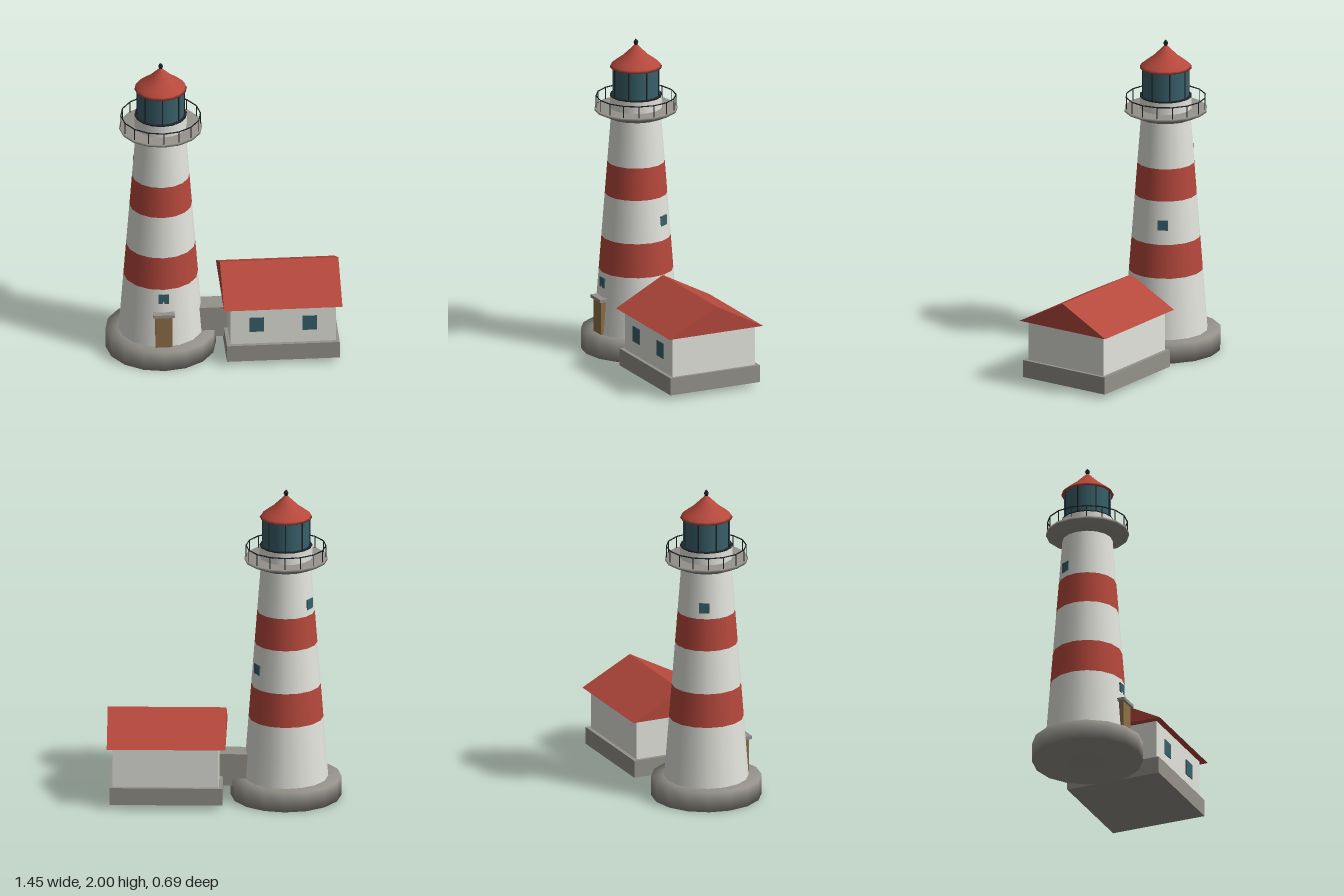
import * as THREE from 'three';

const paint = (name, color) => {
  const m = new THREE.MeshStandardMaterial({ color });
  m.name = name;
  return m;
};

export function createModel() {
  const white = paint('whitewash', 0xe4e4de);
  const red = paint('red', 0xb5483c);
  const stone = paint('stone', 0x94928a);
  const glass = paint('glass', 0x38606a);
  const wood = paint('wood', 0x8f7049);
  const iron = paint('iron', 0x1e2226);

  const model = new THREE.Group();
  model.name = 'lighthouse';
  const tower = new THREE.Group();
  tower.name = 'tower';
  tower.position.x = -0.383;
  const house = new THREE.Group();
  house.name = 'house';
  model.add(tower, house);

  const add = (parent, name, geometry, material, x = 0, y = 0, z = 0) => {
    const mesh = new THREE.Mesh(geometry, material);
    mesh.name = name;
    mesh.position.set(x, y, z);
    parent.add(mesh);
    return mesh;
  };
  // Sixteen-sided turned part from [radius, height] pairs, bottom to top
  const turned = (name, profile, material) =>
    add(tower, name, new THREE.LatheGeometry(profile.map(([r, y]) => new THREE.Vector2(r, y)), 16), material);
  // Box given by its limits on each axis
  const box = (parent, name, material, [x0, x1], [y0, y1], [z0, z1]) =>
    add(parent, name, new THREE.BoxGeometry(x1 - x0, y1 - y0, z1 - z0), material,
      (x0 + x1) / 2, (y0 + y1) / 2, (z0 + z1) / 2);

  // Foundation and tapering banded shaft
  turned('foundation', [[0, 0], [0.343, 0], [0.343, 0.125], [0.24, 0.126]], stone);
  const radiusAt = (y) => 0.262 - 0.0768 * (y - 0.125);
  const bands = [0.12, 0.515, 0.73, 1.005, 1.21, 1.51];
  for (let i = 0; i < 5; i++) {
    const [a, b] = [bands[i], bands[i + 1]];
    turned('shaftBand', [[radiusAt(a), a], [radiusAt(b), b]], i % 2 ? red : white);
  }

  // Shaft windows, a third of a turn apart
  [0.45, 0.853, 1.28].forEach((y, i) => {
    const turn = new THREE.Group();
    turn.name = 'shaftWindow';
    turn.rotation.y = i * Math.PI * 2 / 3;
    tower.add(turn);
    add(turn, 'pane', new THREE.BoxGeometry(0.064, 0.064, 0.02), glass, 0, y, radiusAt(y) - 0.009);
  });

  // Door with lintel
  box(tower, 'door', wood, [-0.053, 0.053], [0.12, 0.345], [0.2, 0.268]);
  box(tower, 'lintel', stone, [-0.067, 0.067], [0.34, 0.36], [0.2, 0.282]);

  // Gallery deck
  turned('gallery', [[0.15, 1.503], [0.18, 1.505], [0.258, 1.542], [0.258, 1.558], [0.14, 1.56]], stone);

  // Gallery railing
  const rail = add(tower, 'handrail', new THREE.TorusGeometry(0.248, 0.004, 5, 16), iron, 0, 1.633, 0);
  rail.rotation.x = Math.PI / 2;
  const postGeometry = new THREE.CylinderGeometry(0.003, 0.003, 0.08, 5);
  for (let i = 0; i < 16; i++) {
    const a = i * Math.PI / 8;
    add(tower, 'railPost', postGeometry, iron, 0.248 * Math.sin(a), 1.595, 0.248 * Math.cos(a));
  }

  // Lantern room: plinth, sill, glazing and glazing bars
  turned('lanternPlinth', [[0.163, 1.555], [0.163, 1.635]], white);
  add(tower, 'lanternSill', new THREE.CylinderGeometry(0.163, 0.163, 0.008, 16), iron, 0, 1.638, 0);
  turned('lanternGlass', [[0.146, 1.635], [0.146, 1.825]], glass);
  const barGeometry = new THREE.CylinderGeometry(0.005, 0.005, 0.19, 6);
  for (let i = 0; i < 8; i++) {
    const a = i * Math.PI / 4;
    add(tower, 'glazingBar', barGeometry, iron, 0.146 * Math.sin(a), 1.73, 0.146 * Math.cos(a));
  }

  // Lantern roof and finial
  turned('lanternRoof', [[0, 1.82], [0.163, 1.82], [0.153, 1.835], [0.122, 1.86],
    [0.083, 1.888], [0.04, 1.93], [0, 1.97]], red);
  turned('finial', [[0, 1.955], [0.009, 1.96], [0.015, 1.978], [0.009, 1.99], [0, 2]], iron);

  // Passage joining tower and house
  box(house, 'passage', stone, [-0.25, 0.04], [0.08, 0.285], [-0.071, 0.071]);

  // House plinth, walls and front windows
  box(house, 'housePlinth', stone, [0.005, 0.706], [0.03, 0.14], [-0.31, 0.31]);
  box(house, 'houseWalls', white, [0.028, 0.685], [0.14, 0.4], [-0.285, 0.285]);
  for (const x of [0.193, 0.52]) {
    box(house, 'houseWindow', glass, [x - 0.045, x + 0.045], [0.225, 0.323], [0.283, 0.291]);
  }

  // Solid gabled roof
  const gable = new THREE.Shape([
    new THREE.Vector2(-0.325, 0.397), new THREE.Vector2(0.325, 0.397), new THREE.Vector2(0, 0.568),
  ]);
  const roof = add(house, 'houseRoof',
    new THREE.ExtrudeGeometry(gable, { depth: 0.736, bevelEnabled: false }), red, -0.014, 0, 0);
  roof.rotation.y = Math.PI / 2;

  return model;
}
